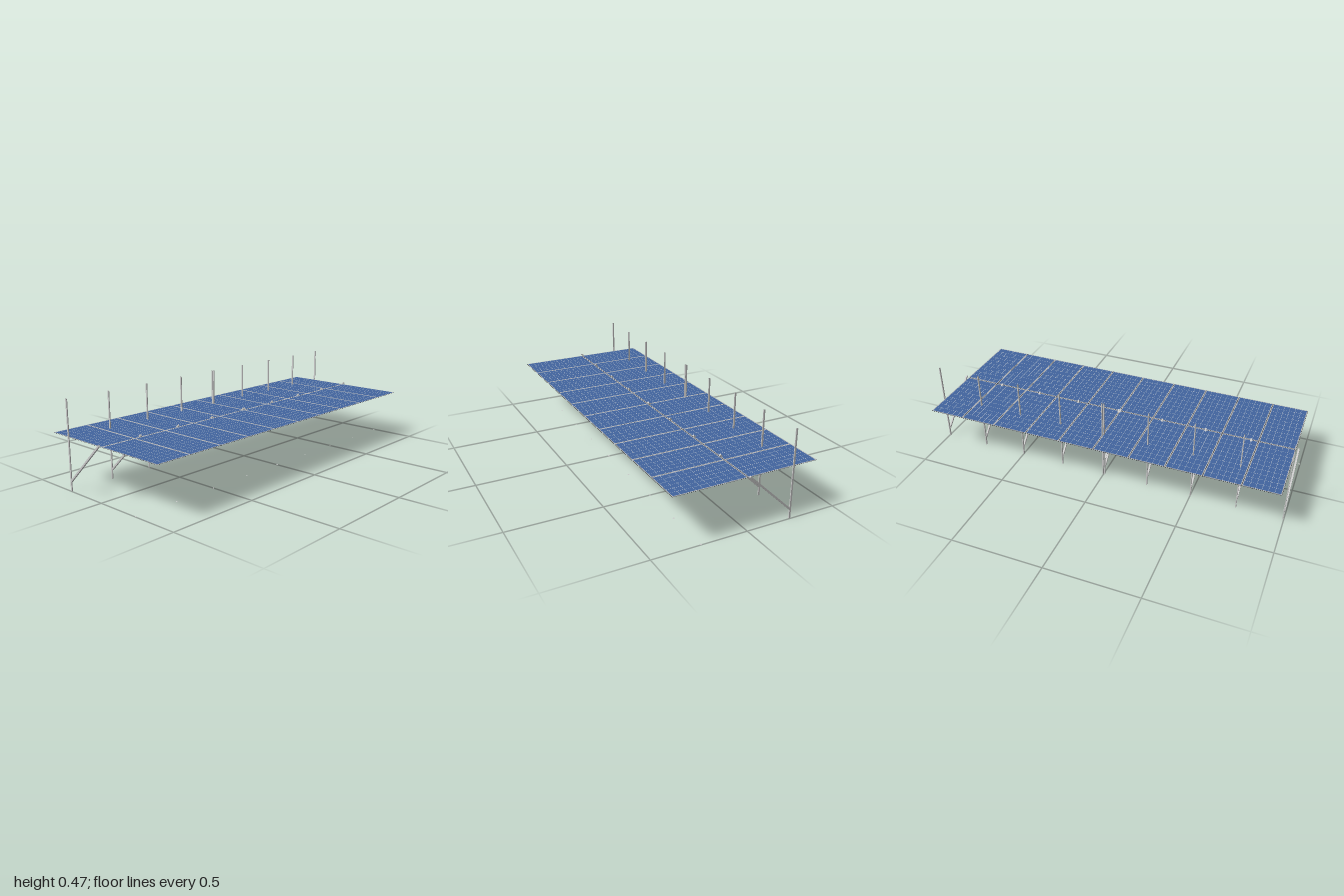
import * as THREE from 'three';
import { mergeGeometries } from 'three/addons/utils/BufferGeometryUtils.js';

const DECK_Y = 0.27, DECK_W = 1.966, DECK_D = 0.776;
const COLS = 10, ROWS = 2, CELLS_X = 6, CELLS_Z = 10;
const POST_Z = -0.242, POST_H = 0.465, BAR = 0.009;

const mat = (color, side = THREE.FrontSide) => new THREE.MeshStandardMaterial({ color, side });

function add(parent, name, geometry, material, x = 0, y = 0, z = 0) {
  const mesh = new THREE.Mesh(geometry, material);
  mesh.name = name;
  mesh.position.set(x, y, z);
  parent.add(mesh);
  return mesh;
}

// horizontal sheet facing up, or down when flipped
function sheet(w, d, x = 0, z = 0, down = false) {
  return new THREE.PlaneGeometry(w, d).rotateX(down ? Math.PI / 2 : -Math.PI / 2).translate(x, 0, z);
}

// flat rectangular border around one panel
function borderGeometry(w, d, t) {
  const rect = (path, a, b) => path.moveTo(-a, -b).lineTo(a, -b).lineTo(a, b).lineTo(-a, b).closePath();
  const shape = rect(new THREE.Shape(), w / 2, d / 2);
  shape.holes.push(rect(new THREE.Path(), w / 2 - t, d / 2 - t));
  return new THREE.ShapeGeometry(shape).rotateX(-Math.PI / 2);
}

// grid of separate solar cells
function cellsGeometry(w, d, gap) {
  const cw = w / CELLS_X, cd = d / CELLS_Z, list = [];
  for (let i = 0; i < CELLS_X; i++) {
    for (let j = 0; j < CELLS_Z; j++) {
      list.push(sheet(cw - gap, cd - gap, (i + 0.5) * cw - w / 2, (j + 0.5) * cd - d / 2));
    }
  }
  return mergeGeometries(list);
}

// upright tube of four thin walls, open at both ends
function postGeometry(w, h, d) {
  const walls = [0, 1, 2, 3].map((k) => {
    const side = k % 2;
    return new THREE.PlaneGeometry(side ? d : w, h)
      .translate(0, h / 2, (side ? w : d) / 2)
      .rotateY(k * Math.PI / 2);
  });
  return mergeGeometries(walls);
}

export function createModel() {
  const model = new THREE.Group();
  model.name = 'solarTable';

  const steel = mat(0xcccccc, THREE.DoubleSide);
  const blue = mat(0x42659f);
  const line = mat(0xb4bccb);
  const frame = mat(0xb0b0b0);
  const black = mat(0x15161b, THREE.DoubleSide);

  // dark underside of the whole deck
  add(model, 'deckUnderside', sheet(DECK_W, DECK_D, 0, 0, true), black, 0, DECK_Y - 0.001, 0);

  // two rows of framed panels
  const deck = new THREE.Group();
  deck.name = 'panels';
  model.add(deck);
  const pitchX = DECK_W / COLS, pitchZ = DECK_D / ROWS;
  const pw = pitchX - 0.002, pd = pitchZ - 0.003, rim = 0.004;
  const backing = sheet(pw, pd);
  const cells = cellsGeometry(pw - 2 * rim, pd - 2 * rim, 0.0015);
  const border = borderGeometry(pw, pd, rim);
  for (let i = 0; i < COLS; i++) {
    for (let j = 0; j < ROWS; j++) {
      const panel = new THREE.Group();
      panel.name = 'panel';
      panel.position.set((i + 0.5) * pitchX - DECK_W / 2, DECK_Y, (j + 0.5) * pitchZ - DECK_D / 2);
      add(panel, 'panelBacking', backing, line, 0, -0.0005, 0);
      add(panel, 'solarCells', cells, blue);
      add(panel, 'panelFrame', border, frame, 0, 0.0003, 0);
      deck.add(panel);
    }
  }

  // posts, diagonal braces and front ground plates, mirrored about x = 0
  const post = postGeometry(0.005, POST_H, BAR);
  const foot = new THREE.Vector2(POST_Z + 0.004, 0.052);
  const head = new THREE.Vector2(0, 0.279);
  const run = head.clone().sub(foot);
  const brace = new THREE.BoxGeometry(BAR, BAR, run.length());
  const plate = sheet(BAR, BAR);
  for (const s of [-1, 1]) {
    for (let k = 0; k < 5; k++) {
      const x = s * (0.005 + k * 0.2476);
      add(model, 'rearPost', post, steel, x, 0, POST_Z);
      const bar = add(model, 'diagonalBrace', brace, steel, x, (foot.y + head.y) / 2, (foot.x + head.x) / 2);
      bar.rotation.x = -Math.atan2(run.y, run.x);
      add(model, 'groundPlate', plate, steel, x, 0.0005, 0.246);
    }
  }
  return model;
}
